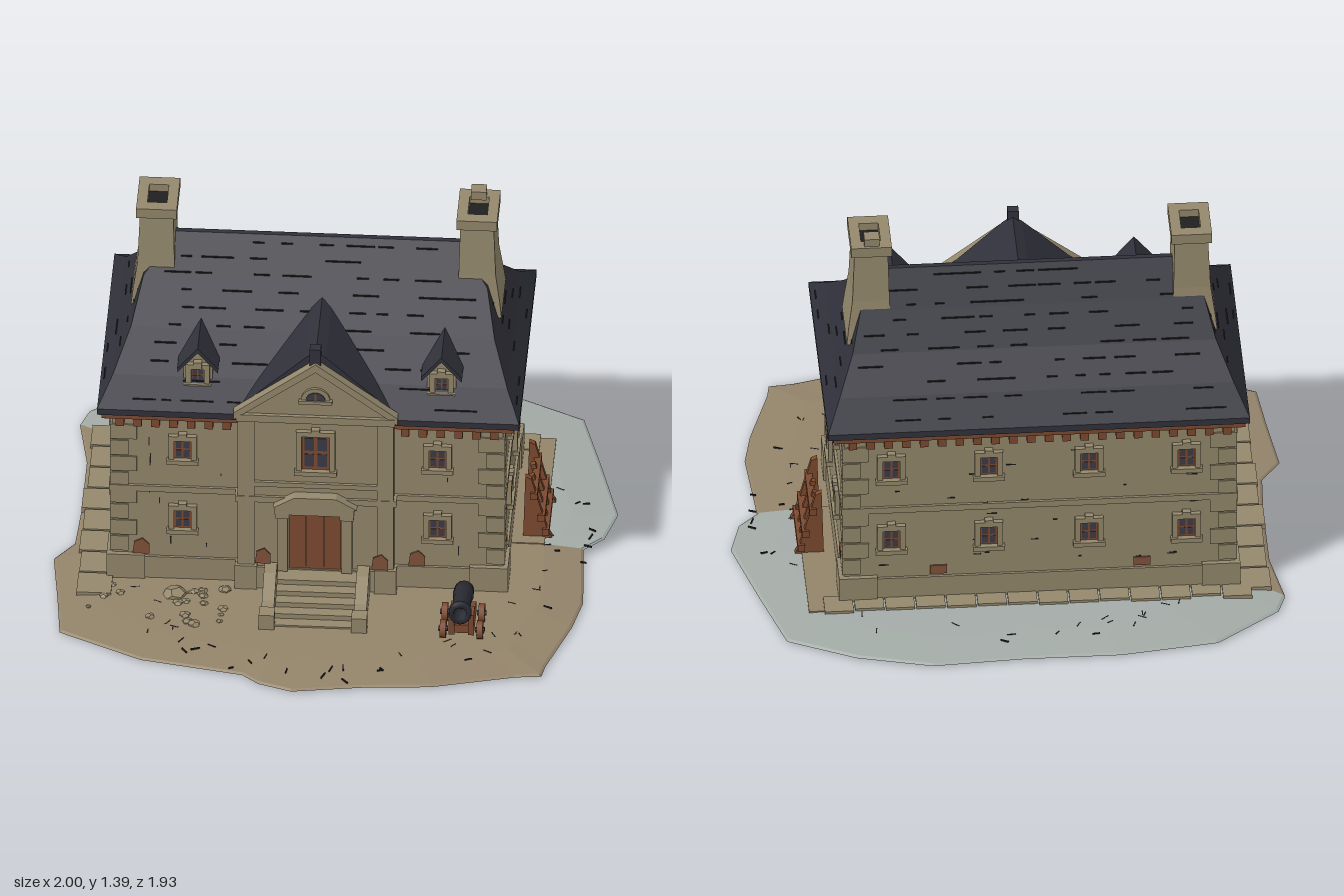
import * as THREE from 'three';

const M = (name, color) => Object.assign(new THREE.MeshStandardMaterial({ color }), { name });

export function createModel() {
  const root = new THREE.Group();
  root.name = 'manorHouse';
  const stone = M('stone', 0x94886c), earth = M('earth', 0x93836a), frost = M('frost', 0xa3aba7);
  const wood = M('wood', 0x7c4a30), slate = M('slate', 0x31313b), ink = M('ink', 0x211f20);
  const glass = M('glass', 0x3b3b49), brick = M('brick', 0x80533a), iron = M('iron', 0x2a2b33);
  let seed = 7;
  const rnd = (a = 0, b = 1) => { seed = (seed * 16807) % 2147483647; return a + (b - a) * seed / 2147483647; };

  const add = (name, geo, mat, parent = root) => {
    const m = new THREE.Mesh(geo, mat);
    m.name = name;
    parent.add(m);
    return m;
  };
  const box = (name, mat, x0, x1, y0, y1, z0, z1, parent = root) => {
    const m = add(name, new THREE.BoxGeometry(x1 - x0, y1 - y0, z1 - z0), mat, parent);
    m.position.set((x0 + x1) / 2, (y0 + y1) / 2, (z0 + z1) / 2);
    return m;
  };
  const group = (name, x = 0, y = 0, z = 0, ry = 0, parent = root) => {
    const g = new THREE.Group();
    g.name = name;
    g.position.set(x, y, z);
    g.rotation.y = ry;
    parent.add(g);
    return g;
  };
  const fromTriangles = (p) => {
    const g = new THREE.BufferGeometry();
    g.setAttribute('position', new THREE.Float32BufferAttribute(p, 3));
    g.computeVertexNormals();
    return g;
  };
  // Stack of rectangles [y, x0, x1, z0, z1] joined into a closed solid
  const loft = (rings) => {
    const c = rings.map(([y, x0, x1, z0, z1]) => [[x0, y, z1], [x1, y, z1], [x1, y, z0], [x0, y, z0]]);
    const p = [];
    const quad = (a, b, d, e) => p.push(...a, ...b, ...d, ...a, ...d, ...e);
    for (let i = 0; i < c.length - 1; i++) for (let j = 0; j < 4; j++) {
      const k = (j + 1) % 4;
      quad(c[i][j], c[i][k], c[i + 1][k], c[i + 1][j]);
    }
    const t = c[c.length - 1], b = c[0];
    quad(t[0], t[1], t[2], t[3]);
    quad(b[3], b[2], b[1], b[0]);
    return fromTriangles(p);
  };
  const prism = (pts, depth) => new THREE.ExtrudeGeometry(
    new THREE.Shape(pts.map(([x, y]) => new THREE.Vector2(x, y))), { depth, bevelEnabled: false });

  // Ground: low mound, frosty behind the house
  const rim = [[-.96, -.63], [-.93, -.72], [-.7, -.9], [-.35, -.95], [0, -.95], [.33, -.97], [.6, -.9], [.84, -.78],
    [.92, -.5], [1, -.2], [.96, -.05], [.89, .02], [.91, .35], [.88, .5], [.8, .75], [.79, .81], [.7, .82], [.4, .9],
    [.15, .92], [-.1, .96], [-.22, .92], [-.28, .87], [-.65, .8], [-.75, .75], [-.95, .65], [-.97, .45], [-1, .2],
    [-.93, .1], [-.92, -.1], [-.92, -.4]];
  const soil = [], ice = [], under = [];
  rim.forEach((a, i) => {
    const b = rim[(i + 1) % rim.length], out = i < 11 ? ice : soil;
    const P = (q, s, y) => [q[0] * s, y, q[1] * s];
    const a0 = P(a, 1, 0), b0 = P(b, 1, 0), a1 = P(a, .99, .006), b1 = P(b, .99, .006), a2 = P(a, .84, .018), b2 = P(b, .84, .018);
    out.push(...a0, ...a1, ...b1, ...a0, ...b1, ...b0, ...a1, ...a2, ...b2, ...a1, ...b2, ...b1, 0, .02, 0, ...b2, ...a2);
    under.push(0, 0, 0, ...a0, ...b0);
  });
  add('earthGround', fromTriangles(soil), earth);
  add('frostGround', fromTriangles(ice), frost);
  add('groundUnderside', fromTriangles(under), earth);
  box('sidePath', earth, .6, .75, .005, .022, -.63, .02);
  for (let x = -.84; x < .7; x += .11) box('backPaving', stone, x, x + .104, .005, .028, -.64 + rnd(-.01, .01), -.55);
  for (let z = -.6; z < .34; z += .13) box('leftPaving', stone, -.92 + rnd(0, .02), -.78, .005, .026, z, z + .122);
  for (let i = 0; i < 75; i++) {
    const a = rnd(0, Math.PI * 2), r = rnd(.76, .92), x = Math.cos(a) * r, z = Math.sin(a) * r;
    const m = box('groundCrack', ink, -rnd(.008, .026), .01, -.003, .003, -.002, .002);
    m.position.set(x, .016, z);
    m.rotation.y = rnd(0, 3);
  }
  for (let i = 0; i < 24; i++) {
    const s = i ? rnd(.008, .025) : .045;
    const m = add('rubble', new THREE.DodecahedronGeometry(s, 0), stone);
    m.position.set(i ? rnd(-.88, -.35) : -.55, .018, i ? rnd(.36, .6) : .41);
    m.scale.y = .55;
    m.rotation.y = rnd(0, 3);
  }

  // Walls, plinth, string course and quoins
  const X0 = -.785, X1 = .62, Z0 = -.56, Z1 = .305, CX = -.05;
  box('mainWalls', stone, X0, X1, .01, .75, Z0, Z1);
  const around = (name, y0, y1, e) => {
    box(name, stone, X0 - e, X1 + e, y0, y1, Z0 - e, Z1 + e);
    box(name, stone, CX - .28 - e, CX + .28 + e, y0, y1, Z1, .345 + e);
  };
  box('centralBay', stone, CX - .28, CX + .28, .01, .78, .2, .345);
  around('plinth', .01, .11, .01);
  around('stringCourse', .395, .42, .01);
  for (const x of [X0, X1]) for (const z of [Z0, Z1]) {
    const sx = x === X0 ? 1 : -1, sz = z === Z0 ? 1 : -1;
    const corner = (w, d, y0, y1, e) => {
      const xs = [x - sx * e, x + sx * w].sort((a, b) => a - b), zs = [z - sz * e, z + sz * d].sort((a, b) => a - b);
      box('cornerStone', stone, xs[0], xs[1], y0, y1, zs[0], zs[1]);
    };
    corner(.12, .12, .01, .12, .018);
    for (let i = 0; i < 8; i++) corner(i % 2 ? .09 : .06, i % 2 ? .06 : .09, .13 + i * .07, .193 + i * .07, .006);
  }
  for (const s of [-1, 1]) {
    box('bayPilaster', stone, CX + s * .25 - .03, CX + s * .25 + .03, .12, .76, .34, .353);
    box('bayPilasterBase', stone, CX + s * .25 - .04, CX + s * .25 + .04, .01, .12, .34, .365);
  }
  box('baySillBand', stone, CX - .22, CX + .22, .465, .485, .34, .356);

  // Wooden eaves with corbels
  box('eaveBoard', wood, -.82, .66, .725, .757, -.595, .335);
  for (let i = 0; i < 22; i++) {
    const x = X0 + .03 + i * .064;
    box('eaveCorbel', wood, x - .015, x + .015, .69, .73, Z0 - .027, Z0);
    if (Math.abs(x - CX) > .3) box('eaveCorbel', wood, x - .015, x + .015, .69, .73, Z1, Z1 + .025);
  }
  for (let z = Z0 + .04; z < Z1; z += .066) {
    box('eaveCorbel', wood, X0 - .027, X0, .69, .73, z - .015, z + .015);
    box('eaveCorbel', wood, X1, X1 + .027, .69, .73, z - .015, z + .015);
  }

  // Hipped roof with a flared, concave slope
  const rings = [[.75, -.835, .68, -.61, .35], [.775, -.835, .68, -.61, .35], [.85, -.785, .63, -.49, .235],
    [.96, -.73, .575, -.375, .09], [1.08, -.695, .54, -.28, -.055], [1.2, -.59, .435, -.19, -.17]];
  add('mainRoof', loft(rings), slate);
  const roofAt = (y) => {
    const i = Math.max(1, rings.findIndex((r) => r[0] >= y)), a = rings[i - 1], b = rings[i], t = (y - a[0]) / (b[0] - a[0]);
    return a.map((v, k) => v + (b[k] - v) * t);
  };
  for (let y = .8; y < 1.19; y += .042) {
    const [, x0, x1, z0, z1] = roofAt(y);
    for (let i = 0; i < 9; i++) for (const z of [z0, z1]) {
      const x = rnd(x0 + .05, x1 - .1);
      box('slateLine', ink, x, x + rnd(.03, .1), y - .002, y + .002, z - .003, z + .003);
    }
    if (y < 1.06) for (const x of [x0, x1]) for (let i = 0; i < 3; i++) {
      const z = rnd(z0 + .02, z1 - .08);
      box('slateLine', ink, x - .003, x + .003, y - .002, y + .002, z, z + rnd(.03, .06));
    }
  }

  // Central gable
  add('gableRoof', prism([[-.31, .755], [.31, .755], [.2, .865], [.035, 1.02], [0, 1.045], [-.035, 1.02], [-.2, .865]], .36), slate).position.set(CX, 0, -.035);
  add('gableWall', prism([[-.28, .76], [.28, .76], [0, .995]], .03), stone).position.set(CX, 0, .322);
  box('gableCornice', stone, CX - .285, CX + .285, .755, .785, .31, .366);
  const rake = [[.295, .76], [.295, .79], [0, 1.015], [0, .98]];
  add('gableRake', prism(rake, .036), stone).position.set(CX, 0, .328);
  add('gableRake', prism(rake.map(([x, y]) => [-x, y]).reverse(), .036), stone).position.set(CX, 0, .328);
  box('gableFinial', slate, CX - .022, CX + .018, 1.0, 1.07, .315, .35);
  const arch = (name, r, d, mat, z) => add(name, new THREE.CylinderGeometry(r, r, d, 16, 1, false, Math.PI / 2, Math.PI)
    .rotateX(Math.PI / 2), mat).position.set(CX, .855, z);
  arch('atticWindowFrame', .052, .02, stone, .352);
  arch('atticWindowPane', .036, .008, glass, .361);
  box('atticSill', stone, CX - .06, CX + .06, .843, .857, .34, .37);
  box('atticMullion', wood, CX - .004, CX + .004, .857, .89, .36, .368);

  // Windows: stone surround, wooden sash, four panes
  const windowAt = (x, y, z, ry, w = .062, h = .082) => {
    const g = group('window', x, y, z, ry), a = w / 2, b = h / 2, t = .02;
    box('sash', wood, -a, a, -b, b, 0, .004, g);
    for (const s of [-1, 1]) {
      box('jamb', stone, s > 0 ? a : -a - t, s > 0 ? a + t : -a, -b, b, 0, .016, g);
      for (const u of [-1, 1])
        box('pane', glass, s * w * .23 - w * .17, s * w * .23 + w * .17, u * h * .23 - h * .18, u * h * .23 + h * .18, 0, .006, g);
    }
    box('lintel', stone, -a - t, a + t, b, b + t, 0, .018, g);
    box('keystone', stone, -.015, .015, b + .004, b + t + .012, 0, .022, g);
    box('sill', stone, -a - t - .006, a + t + .006, -b - .018, -b, 0, .024, g);
  };
  for (const y of [.28, .585]) {
    for (const x of [-.53, .385]) windowAt(x, y, Z1, 0);
    for (const z of [.04, -.29]) { windowAt(X1, y, z, Math.PI / 2); windowAt(X0, y, z, -Math.PI / 2); }
    for (const x of [-.61, -.26, .1, .45]) windowAt(x, y, Z0, Math.PI);
  }
  windowAt(CX, .62, .345, 0, .1, .15);

  // Dormers
  for (const x of [-.48, .395]) {
    add('dormerWall', prism([[-.052, .81], [.052, .81], [.052, .9], [0, .965], [-.052, .9]], .2), stone).position.set(x, 0, .04);
    for (const s of [-1, 1]) {
      const pts = [[0, .965], [s * .072, .88], [s * .074, .896], [0, .985]];
      add('dormerRoof', prism(s > 0 ? pts.slice().reverse() : pts, .22), slate).position.set(x, 0, .03);
    }
    windowAt(x, .868, .24, 0, .046, .062);
  }

  // Chimneys
  for (const [x, s] of [[-.65, -1], [.5, 1]]) {
    const out = (a, b) => s > 0 ? [x - a, x + b] : [x - b, x + a];
    add('chimneyStack', loft([[.95, ...out(.07, .09), -.3, -.06], [1.02, ...out(.068, .082), -.285, -.07],
      [1.12, ...out(.065, .068), -.272, -.08], [1.32, ...out(.06, .06), -.26, -.095]]), stone);
    const shape = new THREE.Shape([[-.073, -.1], [.073, -.1], [.073, .1], [-.073, .1]].map((p) => new THREE.Vector2(...p)));
    shape.holes.push(new THREE.Path([[-.035, -.055], [-.035, .055], [.035, .055], [.035, -.055]].map((p) => new THREE.Vector2(...p))));
    add('chimneyCap', new THREE.ExtrudeGeometry(shape, { depth: .04, bevelEnabled: false }).rotateX(-Math.PI / 2), stone).position.set(x, 1.315, -.18);
    box('chimneyFlue', ink, x - .035, x + .035, 1.318, 1.325, -.235, -.125);
  }
  box('looseCapStone', stone, .47, .525, 1.35, 1.385, -.27, -.22);

  // Door and its surround
  box('door', wood, -.145, .04, .11, .365, .34, .35);
  for (const x of [-.085, -.02]) box('doorPlankGap', ink, x - .002, x + .002, .12, .355, .345, .352);
  for (const x of [-.168, .063]) {
    box('doorPilaster', stone, x - .018, x + .018, .11, .35, .34, .375);
    box('doorCapital', stone, x - .025, x + .025, .345, .37, .34, .382);
  }
  box('doorEntablature', stone, -.195, .09, .365, .395, .34, .385);
  add('doorPediment', prism([[-.15, .395], [.15, .395], [.075, .44], [-.075, .44]], .045), stone).position.set(CX, 0, .34);

  // Front steps with flanking walls
  for (let i = 0; i < 5; i++) box('step', stone, -.185, .1, .01, .105 - i * .02, .34, .42 + i * .042);
  for (const x of [-.21, .122]) {
    const cheek = prism([[0, .01], [.23, .01], [.23, .065], [.16, .075], [.06, .125], [0, .13]], .045);
    add('stepWall', cheek.rotateY(-Math.PI / 2), stone).position.set(x + .0225, 0, .35);
    box('stepPost', stone, x - .028, x + .028, .01, .08, .555, .61);
  }

  // Bare brick patches and wall cracks
  for (const [x, y, w, z] of [[-.68, .15, .06, Z1], [-.24, .16, .055, .353], [.18, .15, .06, .353], [.31, .14, .06, Z1]])
    add('brickPatch', prism([[-w / 2, -.03], [w / 2, -.03], [w / 2, .01], [w * .1, .035], [-w * .4, .02]], .006), brick).position.set(x, y, z);
  for (const z of [.18, -.42]) box('brickPatch', brick, X1, X1 + .006, .12, .155, z - .025, z + .025);
  for (const x of [-.45, .28]) box('brickPatch', brick, x - .03, x + .03, .12, .155, Z0 - .006, Z0);
  for (let i = 0; i < 26; i++) {
    const x = rnd(-.7, .55), y = rnd(.15, .68), w = rnd(.01, .04);
    box('wallCrack', ink, x, x + w, y, y + .004, Z0 - .002, Z0 + .002);
    if (Math.abs(x - CX) > .3) box('wallCrack', ink, x, x + .004, y, y + w, Z1 - .002, Z1 + .002);
  }

  // Cannon on a four-wheeled carriage
  const cannon = group('cannon', .49, 0, .55);
  for (const s of [-1, 1]) {
    add('carriageCheek', prism([[-.075, .035], [.07, .035], [.075, .125], [.02, .125], [-.03, .09], [-.075, .08]], .02)
      .rotateY(-Math.PI / 2), wood, cannon).position.x = s * .035 + .01;
    for (const z of [-.05, .055]) {
      add('wheel', new THREE.CylinderGeometry(.034, .034, .022, 12).rotateZ(Math.PI / 2), wood, cannon).position.set(s * .066, .05, z);
      add('wheelHub', new THREE.CylinderGeometry(.01, .01, .034, 8).rotateZ(Math.PI / 2), iron, cannon).position.set(s * .066, .05, z);
    }
  }
  box('carriageBed', wood, -.03, .03, .04, .075, -.07, .065, cannon);
  const profile = [[0, -.14], [.012, -.135], [.012, -.118], [.036, -.108], [.038, -.05], [.034, -.04], [.032, .06], [.03, .09],
    [.041, .1], [.041, .125], [.022, .125], [.02, .08], [0, .08]].map((p) => new THREE.Vector2(...p));
  const barrel = add('barrel', new THREE.LatheGeometry(profile, 14), iron, cannon);
  barrel.position.set(0, .145, .015);
  barrel.rotation.x = Math.PI / 2 - .24;

  // Wooden rack leaning against the side wall
  const rack = group('woodenRack');
  for (const z of [-.035, -.25]) {
    add('rackSide', prism([[.67, .015], [.775, .015], [.755, .06], [.7, .27], [.678, .28]], .022), wood, rack).position.z = z - .011;
  }
  for (const [y, x] of [[.045, .75], [.105, .735], [.2, .708]]) box('rackRail', wood, x - .012, x + .014, y - .014, y + .014, -.27, -.015, rack);
  for (const z of [-.11, -.18]) {
    const bar = box('rackBar', wood, -.009, .009, -.11, .11, -.01, .01, rack);
    bar.position.set(.725, .125, z);
    bar.rotation.z = .27;
  }
  return root;
}
